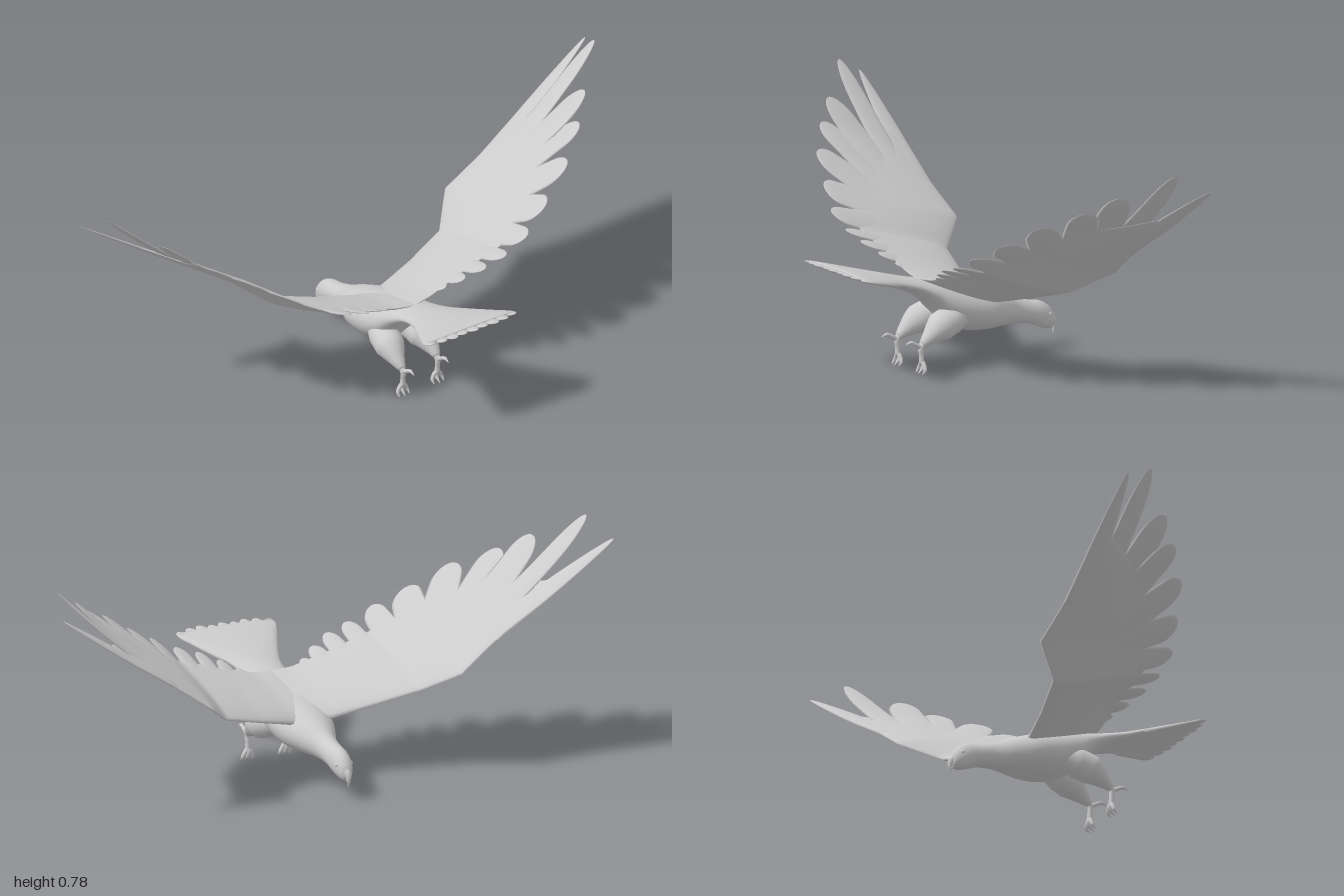
import * as THREE from 'three';

const material = new THREE.MeshStandardMaterial({ color: 0xcccccc, roughness: 0.8 });
const { lerp } = THREE.MathUtils;

// Skin closed rings of [x, y, z] points into a capped, outward-facing solid
function skin(name, rings) {
  const n = rings[0].length, m = rings.length, pos = rings.flat(2);
  let index = [];
  for (let i = 0; i < m - 1; i++) {
    for (let j = 0; j < n; j++) {
      const a = i * n + j, b = i * n + (j + 1) % n;
      index.push(a, b, a + n, b, b + n, a + n);
    }
  }
  [0, m - 1].forEach((r, k) => {
    const c = pos.length / 3;
    pos.push(...[0, 1, 2].map(d => rings[r].reduce((s, p) => s + p[d], 0) / n));
    for (let j = 0; j < n; j++) {
      const a = r * n + j, b = r * n + (j + 1) % n;
      index.push(...(k ? [a, b, c] : [b, a, c]));
    }
  });
  // flip the winding when the enclosed volume is negative
  const v = i => new THREE.Vector3().fromArray(pos, i * 3);
  let volume = 0;
  for (let i = 0; i < index.length; i += 3) {
    volume += v(index[i]).dot(v(index[i + 1]).cross(v(index[i + 2])));
  }
  if (volume < 0) index = index.reverse();
  const g = new THREE.BufferGeometry();
  g.setAttribute('position', new THREE.Float32BufferAttribute(pos, 3));
  g.setIndex(index);
  g.computeVertexNormals();
  const mesh = new THREE.Mesh(g, material);
  mesh.name = name;
  return mesh;
}

const steps = (n, f) => Array.from({ length: n + 1 }, (_, i) => f(i / n));
const around = (n, f) => Array.from({ length: n }, (_, i) => f(i / n * Math.PI * 2));

// Piecewise linear lookup of column k in rows sorted by their first column
function lookup(rows, x, k) {
  let i = 0;
  while (i < rows.length - 2 && x > rows[i + 1][0]) i++;
  const a = rows[i], b = rows[i + 1];
  return lerp(a[k], b[k], (x - a[0]) / (b[0] - a[0]));
}

// Round limb through [x, y, z, radius] points
function limb(name, pts, sides = 12) {
  const path = new THREE.CatmullRomCurve3(pts.map(p => new THREE.Vector3(p[0], p[1], p[2])));
  const radii = pts.map((p, i) => [i, p[3]]);
  const count = (pts.length - 1) * 6;
  const fr = path.computeFrenetFrames(count);
  const rings = steps(count, t => {
    const i = Math.round(t * count), c = path.getPoint(t);
    const r = lookup(radii, t * (pts.length - 1), 1);
    // square the frame to the local tangent
    const tan = path.getTangent(t);
    const nrm = fr.normals[i].clone().addScaledVector(tan, -tan.dot(fr.normals[i])).normalize();
    const bin = tan.clone().cross(nrm);
    return around(sides, a => c.clone().addScaledVector(nrm, r * Math.cos(a))
      .addScaledVector(bin, r * Math.sin(a)).toArray());
  });
  return skin(name, rings);
}

// Lens-section blade lying on the surface y = height(x, z)
function feather(name, side, [x0, z0], [x1, z1], w0, w1, height, thick, { round = 0.22, lift = 0 } = {}) {
  const len = Math.hypot(x1 - x0, z1 - z0), nx = -(z1 - z0) / len, nz = (x1 - x0) / len;
  const rings = steps(20, s => {
    const t = 1 - (1 - s) ** 1.6;
    const e = Math.max(0, (t - 1 + round) / round);
    const w = lerp(w0, w1, t) / 2 * Math.sqrt(Math.max(0.0004, 1 - e * e));
    const th = thick * lerp(1, 0.5, t) * Math.sqrt(Math.max(0.01, 1 - e * e));
    return around(12, a => {
      const x = lerp(x0, x1, t) + nx * w * Math.cos(a), z = lerp(z0, z1, t) + nz * w * Math.cos(a);
      return [side * x, height(x, z) + lift * t * t + th * Math.sin(a), z];
    });
  });
  return skin(name, rings);
}

// Wing stations: x, leading z, trailing z, leading y, half thickness, rise towards the trailing edge
const WING = [
  [0, -0.17, 0.1, 0.2, 0.03, 0.36], [0.07, -0.185, 0.09, 0.205, 0.03, 0.36],
  [0.2, -0.215, 0.08, 0.235, 0.022, 0.36], [0.35, -0.26, 0.08, 0.275, 0.018, 0.33],
  [0.45, -0.368, 0.04, 0.345, 0.016, 0.25], [0.55, -0.357, -0.01, 0.415, 0.014, 0.26],
  [0.65, -0.35, -0.1, 0.483, 0.012, 0.28], [0.73, -0.345, -0.22, 0.537, 0.01, 0.28],
  [0.8, -0.347, -0.31, 0.585, 0.006, 0.3], [1, -0.365, -0.35, 0.72, 0.004, 0.32],
];
const wingY = (x, z) => lookup(WING, x, 3) + lookup(WING, x, 5) * (z - lookup(WING, x, 1));

// Flight feathers: root, tip, root width, tip width, options
const FLIGHT = [
  [[0.58, -0.305], [1, -0.364], 0.1, 0.045, { round: 0.6 }],
  [[0.58, -0.25], [0.958, -0.257], 0.1, 0.066, { round: 0.3, lift: 0.053 }],
  [[0.55, -0.2], [0.83, -0.13], 0.14, 0.1, { lift: 0.025 }],
  [[0.52, -0.16], [0.75, -0.045], 0.13, 0.1, { lift: 0.005 }],
  [[0.47, -0.12], [0.63, 0.055], 0.14, 0.1],
  [[0.44, -0.08], [0.495, 0.118], 0.12, 0.09],
  [[0.38, -0.06], [0.393, 0.158], 0.09, 0.064],
  [[0.31, -0.06], [0.305, 0.162], 0.08, 0.056],
  [[0.24, -0.06], [0.23, 0.155], 0.08, 0.052],
  [[0.18, -0.06], [0.165, 0.13], 0.08, 0.048],
  [[0.12, -0.06], [0.115, 0.1], 0.07, 0.04],
];

function wing(side) {
  const g = new THREE.Group();
  g.name = side > 0 ? 'leftWing' : 'rightWing';
  const rings = steps(50, t => {
    const x = lerp(-0.02, 0.82, t);
    const [lead, trail, , th] = [1, 2, 3, 4].map(k => lookup(WING, x, k));
    return around(28, a => {
      const u = (1 - Math.cos(a)) / 2, z = lerp(lead, trail, u);
      return [side * x, wingY(x, z) + th * Math.sin(a) * (1.1 - 0.7 * u), z];
    });
  });
  g.add(skin('wingPanel', rings));
  FLIGHT.forEach(([root, tip, w0, w1, o]) =>
    g.add(feather('flightFeather', side, root, tip, w0, w1, wingY, 0.009, o)));
  return g;
}

function leg(side) {
  const g = new THREE.Group();
  g.name = side > 0 ? 'leftLeg' : 'rightLeg';
  const x = 0.068 * side;
  g.add(limb('thigh', [[0.048 * side, 0.17, -0.06, 0.03], [0.056 * side, 0.16, 0, 0.049],
    [0.064 * side, 0.143, 0.05, 0.049], [x, 0.115, 0.095, 0.026], [x, 0.095, 0.122, 0.012]], 20));
  g.add(limb('shank', [[x, 0.108, 0.105, 0.014], [x, 0.088, 0.126, 0.01],
    [x, 0.06, 0.125, 0.008], [x, 0.036, 0.124, 0.009]]));
  g.add(limb('hindToe', [[x, 0.085, 0.124, 0.008], [x, 0.097, 0.145, 0.007],
    [x, 0.108, 0.168, 0.006], [x, 0.102, 0.187, 0.001]], 8));
  // three hanging toes with hooked claws
  for (const k of [-1, 0, 1]) {
    const tx = x + k * 0.019;
    g.add(limb('toe', [[x, 0.042, 0.124, 0.008], [x + k * 0.012, 0.028, 0.122 - (k ? 0 : 0.004), 0.007],
      [tx, 0.014, 0.124, 0.006], [tx, 0.002, 0.135 + (k ? 0 : 0.004), 0.001]], 8));
  }
  return g;
}

// Body sections from head to flared tail: z, top y, bottom y, half width
const BODY = [
  [-0.432, 0.104, 0.077, 0.009], [-0.424, 0.122, 0.066, 0.02], [-0.405, 0.145, 0.064, 0.029],
  [-0.375, 0.161, 0.073, 0.034], [-0.335, 0.168, 0.09, 0.036], [-0.28, 0.186, 0.098, 0.042],
  [-0.22, 0.214, 0.099, 0.068], [-0.15, 0.24, 0.098, 0.095], [-0.07, 0.262, 0.108, 0.1],
  [0, 0.28, 0.14, 0.094], [0.06, 0.292, 0.205, 0.08], [0.12, 0.304, 0.252, 0.073],
  [0.18, 0.319, 0.276, 0.081], [0.25, 0.337, 0.302, 0.108], [0.32, 0.354, 0.326, 0.14],
  [0.37, 0.366, 0.343, 0.16], [0.405, 0.372, 0.357, 0.17],
];

function body() {
  const top = new THREE.CatmullRomCurve3(BODY.map(([z, t, , w]) => new THREE.Vector3(w, t, z)));
  const low = new THREE.CatmullRomCurve3(BODY.map(([z, , b]) => new THREE.Vector3(0, b, z)));
  return skin('body', steps(80, t => {
    const a = top.getPoint(t), b = low.getPoint(t);
    const cy = (a.y + b.y) / 2, h = (a.y - b.y) / 2;
    return around(32, q => [a.x * Math.cos(q), cy + h * Math.sin(q), lerp(a.z, b.z, (1 - Math.sin(q)) / 2)]);
  }));
}

export function createModel() {
  const model = new THREE.Group();
  model.name = 'flyingBird';
  model.add(body());

  // hooked beak
  model.add(limb('beak', [[0, 0.098, -0.415, 0.018], [0, 0.09, -0.429, 0.012],
    [0, 0.07, -0.436, 0.007], [0, 0.046, -0.432, 0.001]]));
  model.add(limb('lowerBeak', [[0, 0.076, -0.412, 0.011], [0, 0.068, -0.424, 0.006], [0, 0.063, -0.43, 0.001]]));

  // feather tips along the flared tail edge
  const tailY = (x, z) => 0.302 + 0.29 * (z - 0.2);
  for (let i = -4; i <= 4; i++) {
    const z = Math.abs(i) === 4 ? 0.418 : 0.437 - (Math.abs(i) % 2) * 0.006;
    model.add(feather('tailFeather', 1, [i * 0.02, 0.24], [i * 0.042, z], 0.045, 0.044, tailY, 0.011, { round: 0.18 }));
  }

  for (const side of [1, -1]) {
    model.add(wing(side), leg(side));
    const eye = new THREE.Mesh(new THREE.SphereGeometry(0.008, 16, 12), material);
    eye.name = side > 0 ? 'leftEye' : 'rightEye';
    eye.position.set(side * 0.024, 0.116, -0.402);
    model.add(eye);
  }
  return model;
}
